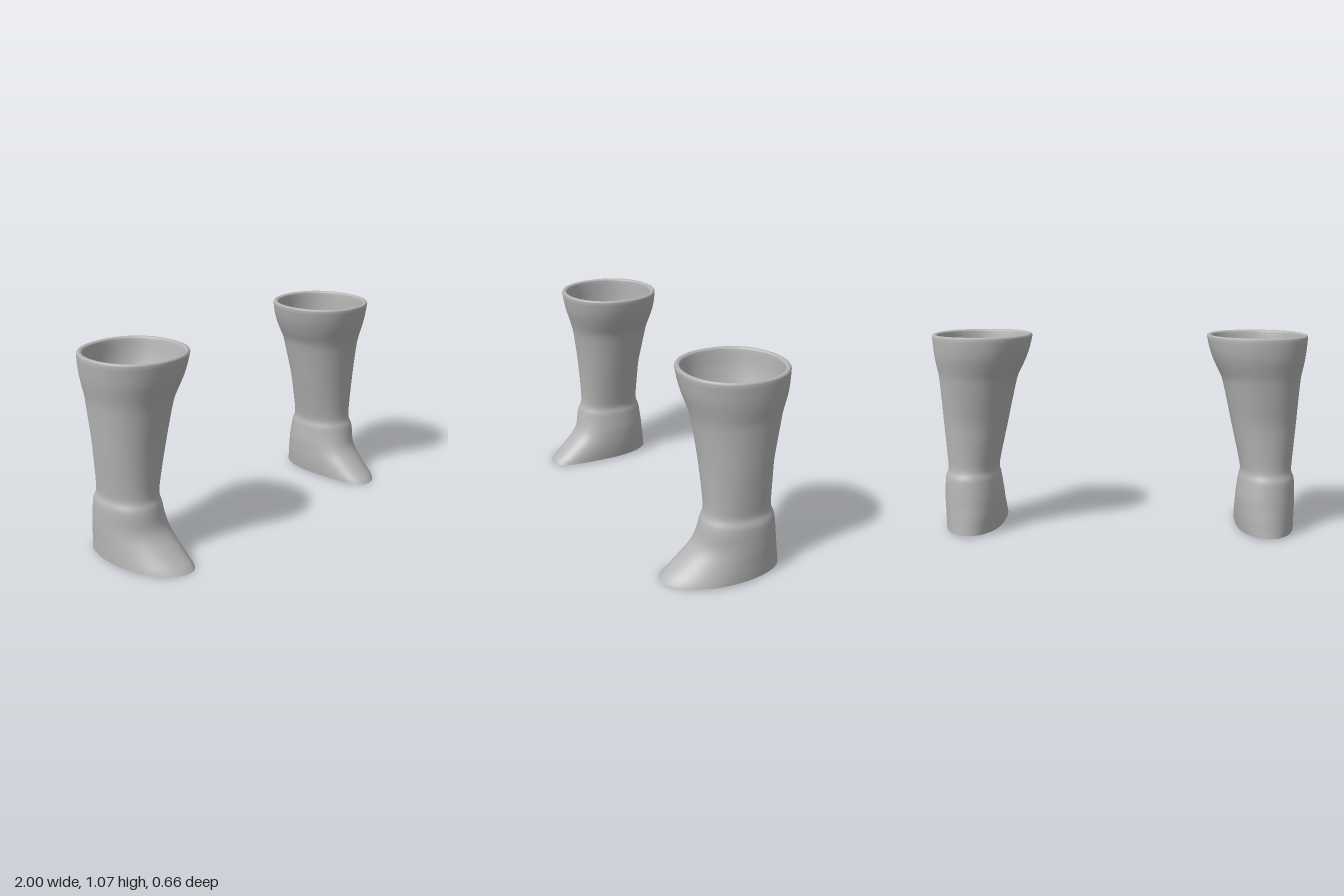
import * as THREE from 'three';

// Boot cross-sections from sole to top: y, inner x, outer x, back z, front z
const SECTIONS = [
  [0.010, 0.645, 0.960, -0.304, 0.328],
  [0.050, 0.641, 0.959, -0.298, 0.278],
  [0.100, 0.638, 0.957, -0.292, 0.222],
  [0.150, 0.638, 0.956, -0.284, 0.172],
  [0.200, 0.639, 0.954, -0.278, 0.143],
  [0.270, 0.647, 0.951, -0.268, 0.128],
  [0.305, 0.652, 0.946, -0.261, 0.119],
  [0.340, 0.660, 0.933, -0.247, 0.105],
  [0.400, 0.650, 0.936, -0.244, 0.104],
  [0.500, 0.628, 0.944, -0.247, 0.111],
  [0.600, 0.605, 0.952, -0.251, 0.120],
  [0.700, 0.583, 0.958, -0.267, 0.133],
  [0.800, 0.560, 0.965, -0.284, 0.148],
  [0.850, 0.545, 0.970, -0.293, 0.160],
  [0.900, 0.520, 0.980, -0.307, 0.176],
  [0.950, 0.498, 0.989, -0.320, 0.193],
  [1.000, 0.481, 0.995, -0.327, 0.205],
  [1.058, 0.468, 1.000, -0.330, 0.216],
];
const TOP = SECTIONS[SECTIONS.length - 1];
const SIDES = 56;

// Smoothly interpolated sections, drawn in by a wall thickness
function smoothSections(inset) {
  const curve = (ix, iz) => new THREE.CatmullRomCurve3(
    SECTIONS.map(s => new THREE.Vector3(s[ix], s[0], s[iz])), false, 'catmullrom', 0.5);
  const low = curve(1, 3), high = curve(2, 4);
  const n = (SECTIONS.length - 1) * 3;
  return Array.from({ length: n + 1 }, (_, i) => {
    const a = low.getPoint(i / n), b = high.getPoint(i / n);
    return shrink([a.y, a.x, b.x, a.z, b.z], inset(a.y));
  });
}

function shrink([y, x0, x1, z0, z1], d, newY = y) {
  return [newY, x0 + d, x1 - d, z0 + d, z1 - d];
}

// Loft a closed ring through every section; side = -1 mirrors the boot
function loft(rows, side) {
  const pos = [], index = [];
  const round = v => Math.sign(v) * Math.pow(Math.abs(v), 0.94);
  for (const [y, x0, x1, z0, z1] of rows) {
    const foot = THREE.MathUtils.clamp((0.25 - y) / 0.24, 0, 1);
    for (let j = 0; j < SIDES; j++) {
      const a = (j / SIDES) * Math.PI * 2;
      const c = round(Math.cos(a)), s = round(Math.sin(a));
      const toe = s > 0 ? s * s * foot : 0; // toe turns slightly inwards
      const x = (x0 + x1) / 2 + c * (x1 - x0) / 2 - 0.045 * toe;
      const z = (z0 + z1) / 2 + s * (z1 - z0) / 2;
      const drop = y < 0.02 ? 0.008 * toe : 0;
      pos.push(x * side, y - drop, z);
    }
  }
  for (let i = 0; i < rows.length - 1; i++) {
    for (let j = 0; j < SIDES; j++) {
      const k = (j + 1) % SIDES;
      const a = i * SIDES + j, c = i * SIDES + k;
      const b = a + SIDES, d = c + SIDES;
      if (side > 0) index.push(a, b, c, b, d, c);
      else index.push(a, c, b, b, c, d);
    }
  }
  const geo = new THREE.BufferGeometry();
  geo.setAttribute('position', new THREE.Float32BufferAttribute(pos, 3));
  geo.setIndex(index);
  geo.computeVertexNormals();
  return geo;
}

export function createModel() {
  const grey = new THREE.MeshStandardMaterial({ color: 0xb4b4b4 });
  grey.name = 'grey';

  // Wall is thin in the foot and shaft, thicker near the cuff
  const wall = y => 0.009 + 0.018 * THREE.MathUtils.smoothstep(y, 0.75, 1.03);
  const outer = smoothSections(() => 0);
  const inner = smoothSections(wall).reverse();

  // Rounded rim folding over into the opening
  const rim = [[0.004, 1.066], [0.012, 1.069], [0.02, 1.067], [0.025, 1.062]]
    .map(([d, y]) => shrink(TOP, d, y));

  const model = new THREE.Group();
  model.name = 'pairOfBoots';
  for (const side of [1, -1]) {
    const boot = new THREE.Group();
    boot.name = side > 0 ? 'leftBoot' : 'rightBoot';
    const parts = {
      bootShell: [...outer, ...rim],
      bootLining: [rim[3], ...inner],
      soleEdge: [inner[inner.length - 1], outer[0]],
    };
    for (const [name, rows] of Object.entries(parts)) {
      const mesh = new THREE.Mesh(loft(rows, side), grey);
      mesh.name = name;
      boot.add(mesh);
    }
    model.add(boot);
  }
  return model;
}
